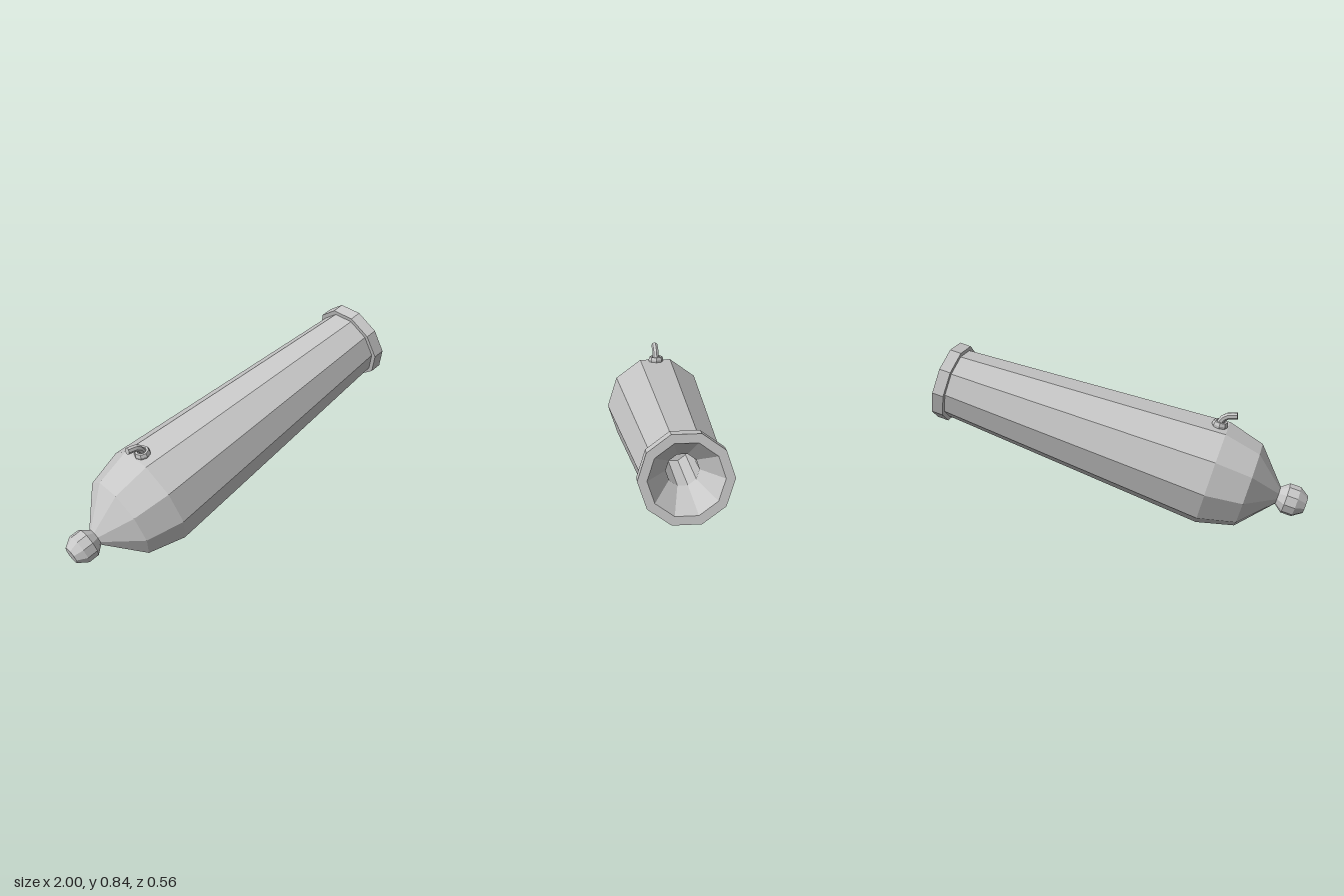
import * as THREE from 'three';

const SIDES = 10;

// Faceted normals for the low-poly look
function facet(geometry) {
  const flat = geometry.toNonIndexed();
  flat.computeVertexNormals();
  return flat;
}

// Turned part around the local Y axis; profile is [radius, height] pairs
function turned(name, profile, material, sides = SIDES, roll = -0.018) {
  const points = profile.map(([r, h]) => new THREE.Vector2(r, h));
  const mesh = new THREE.Mesh(facet(new THREE.LatheGeometry(points, sides, roll)), material);
  mesh.name = name;
  return mesh;
}

export function createModel() {
  const model = new THREE.Group();
  model.name = 'cannonBarrel';
  const iron = new THREE.MeshStandardMaterial({ color: 0xc7c7c7 });
  iron.name = 'light iron grey';

  // Barrel assembly, raised 15 degrees toward +x
  const gun = new THREE.Group();
  gun.name = 'gun';
  gun.position.set(-0.506, 0.26, 0.002);
  gun.rotation.set(0, -0.007, -THREE.MathUtils.degToRad(75));
  model.add(gun);

  gun.add(
    // Rounded knob behind the breech
    turned('breechKnob', [[0, -0.499], [0.046, -0.499], [0.08, -0.45], [0.08, -0.393], [0.047, -0.352]], iron),
    // Breech cone and tapering tube
    turned('barrel', [[0.047, -0.352], [0.226, -0.193], [0.278, 0], [0.187, 1.442]], iron),
    // Raised collar at the muzzle
    turned('muzzleRing', [[0.187, 1.442], [0.211, 1.442], [0.211, 1.503], [0.169, 1.503]], iron),
    // Flared mouth narrowing to the bore
    turned('bore', [[0.169, 1.503], [0.075, 1.35], [0.075, 0.95], [0, 0.95]], iron)
  );

  // Vent with a bent fuse on top of the breech
  const vent = new THREE.Group();
  vent.name = 'vent';
  model.add(vent);

  const cup = turned('ventCup', [[0.036, -0.03], [0.042, 0.004], [0.036, 0.02], [0.024, 0.02], [0.02, 0.008], [0, 0.008]], iron, 8, 0);
  cup.position.set(-0.533, 0.532, -0.004);
  cup.rotation.z = 0.2;
  vent.add(cup);

  const path = new THREE.CatmullRomCurve3([
    [-0.53, 0.525], [-0.538, 0.557], [-0.566, 0.58], [-0.62, 0.586]
  ].map(([x, y]) => new THREE.Vector3(x, y, -0.004)));
  const fuse = new THREE.Mesh(facet(new THREE.TubeGeometry(path, 5, 0.018, 7)), iron);
  fuse.name = 'fuse';
  vent.add(fuse);

  // Closed tip of the fuse
  const tip = new THREE.Mesh(new THREE.CircleGeometry(0.018, 7), iron);
  tip.name = 'fuseTip';
  tip.position.copy(path.getPoint(1));
  tip.lookAt(path.getPoint(1).add(path.getTangent(1)));
  vent.add(tip);

  return model;
}
